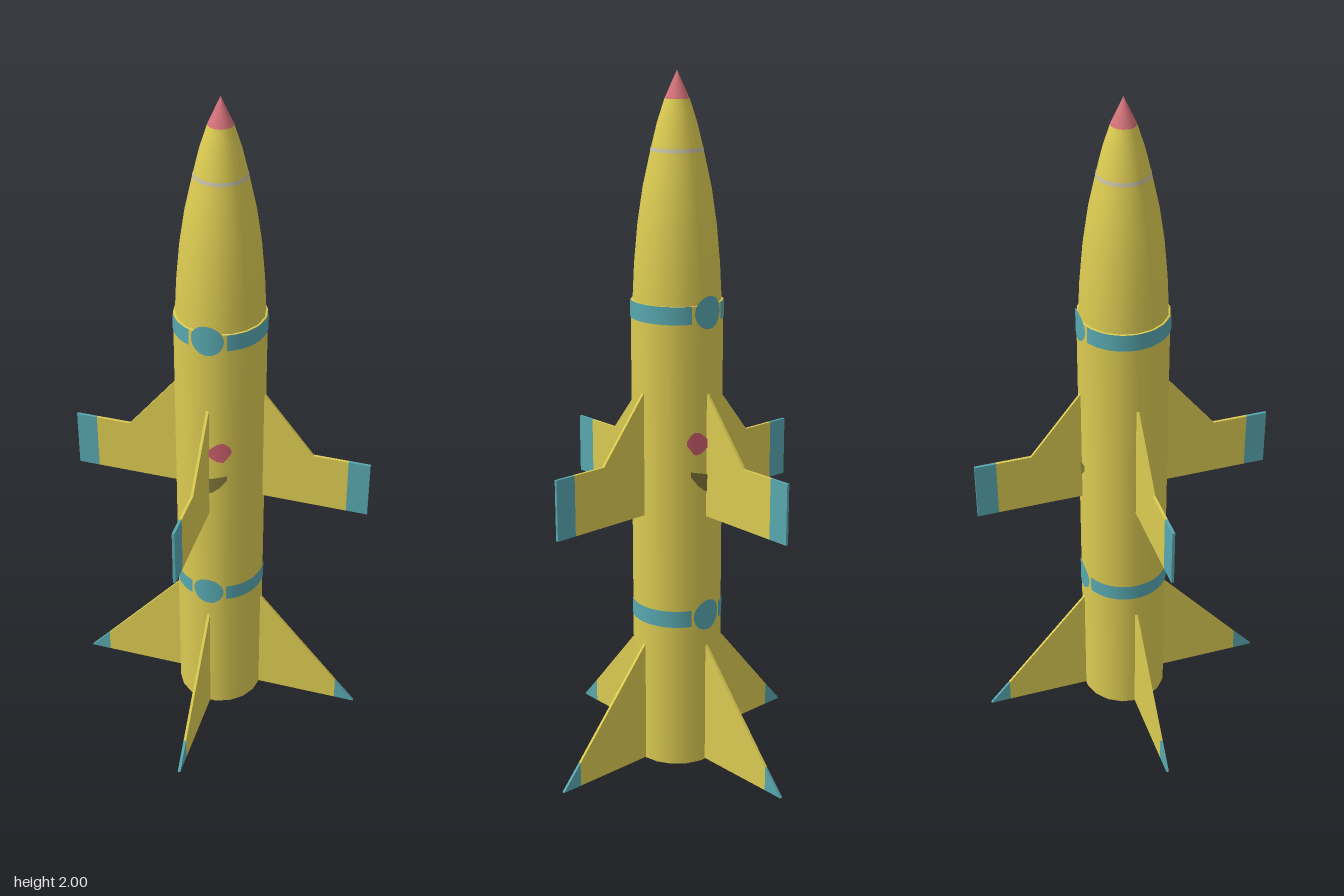
import * as THREE from 'three';

const R = 0.129, SIDES = 18;
const mat = (name, color, side = THREE.FrontSide) => {
  const m = new THREE.MeshStandardMaterial({ color, side });
  m.name = name;
  return m;
};

export function createModel() {
  const group = new THREE.Group();
  const yellow = mat('yellow', 0xdccb52);
  const teal = mat('teal', 0x58a8b0);
  const red = mat('red', 0xd4727a);
  const pink = mat('pink', 0xd0606e);
  const brown = mat('brown', 0x81763a);
  const grey = mat('pale grey', 0xc4c0a8);

  const add = (name, geo, material, parent = group) => {
    const m = new THREE.Mesh(geo, material);
    m.name = name;
    parent.add(m);
    return m;
  };
  // Lathe from [radius, height] pairs, listed upwards
  const lathe = (pts, n = SIDES, start = Math.PI / 2, arc = Math.PI * 2) =>
    new THREE.LatheGeometry(pts.map(p => new THREE.Vector2(...p)), n, start, arc);

  // Fuselage, flat base and ogive nose
  add('body', lathe([[R, 0], [R, 1.38]]), yellow);
  add('base', lathe([[0, 0], [R, 0]]), yellow);
  add('shoulder', lathe([[R, 1.38], [0.124, 1.381]]), yellow);
  const nose = [[0.124, 1.38], [0.119, 1.48], [0.109, 1.59], [0.094, 1.69],
    [0.072, 1.79], [0.055, 1.86], [0.034, 1.925]];
  add('nose', lathe(nose), yellow);
  add('noseTip', lathe([[0.034, 1.925], [0, 2]]), red);
  add('noseRing', lathe([[0.0735, 1.787], [0.0712, 1.797]]), grey);

  // Thin patch wrapped on the front (+1) or back (-1); columns are [x, bottom, top]
  const patch = (name, columns, side, material) => {
    const cols = side > 0 ? columns : [...columns].reverse();
    const pos = [], idx = [];
    cols.forEach(([x, lo, hi], i) => {
      const z = side * Math.sqrt(0.131 ** 2 - x * x);
      pos.push(x, lo, z, x, hi, z);
      const a = 2 * i;
      if (i < cols.length - 1) idx.push(a, a + 2, a + 1, a + 1, a + 2, a + 3);
    });
    const g = new THREE.BufferGeometry();
    g.setAttribute('position', new THREE.Float32BufferAttribute(pos, 3));
    g.setIndex(idx);
    g.computeVertexNormals();
    add(name, g, material);
  };

  // Painted bands, interrupted by a disc at the front and back
  const deg = Math.PI / 180;
  for (const [y, lo, hi] of [[1.36, 1.332, 1.382], [0.467, 0.44, 0.49]]) {
    for (const start of [24, 204]) {
      add('band', lathe([[0.1308, lo], [0.1308, hi]], 24, start * deg, 132 * deg), teal);
    }
    const disc = [];
    for (let i = 0; i <= 12; i++) {
      const a = Math.PI * (1 - i / 12), h = 0.046 * Math.sin(a);
      disc.push([0.046 * Math.cos(a), y - h, y + h]);
    }
    for (const side of [1, -1]) patch('bandDisc', disc, side, teal);
  }

  // Small painted marks
  for (const side of [1, -1]) {
    patch('pinkMark', [[0, 0.98, 0.995], [0.015, 0.968, 1.01], [0.03, 0.96, 1.022],
      [0.045, 0.958, 1.025], [0.057, 0.975, 1.015], [0.066, 0.99, 1.0]], side, pink);
    patch('brownMark', [[-0.03, 0.88, 0.9], [-0.015, 0.86, 0.9], [0.0, 0.845, 0.895],
      [0.015, 0.85, 0.9], [0.035, 0.868, 0.905], [0.055, 0.895, 0.91]], side, brown);
  }

  // Fins: flat outlines extruded thin, with painted tips
  const plate = pts => {
    const s = new THREE.Shape(pts.map(p => new THREE.Vector2(...p)));
    return new THREE.ExtrudeGeometry(s, { depth: 0.008, bevelEnabled: false }).translate(0, 0, -0.004);
  };
  const wing = plate([[0.118, 0.77], [0.378, 0.77], [0.378, 0.945], [0.275, 0.945], [0.128, 1.13], [0.118, 1.13]]);
  const wingTip = plate([[0.378, 0.77], [0.44, 0.77], [0.44, 0.945], [0.378, 0.945]]);
  const tail = plate([[0.118, 0.002], [0.378, 0.002], [0.378, 0.074], [0.128, 0.37], [0.118, 0.37]]);
  const tailTip = plate([[0.378, 0.002], [0.44, 0.002], [0.378, 0.074]]);
  for (let i = 0; i < 4; i++) {
    const fins = new THREE.Group();
    fins.name = 'finSet';
    fins.rotation.y = i * Math.PI / 2;
    add('wing', wing, yellow, fins);
    add('wingTip', wingTip, teal, fins);
    add('tailFin', tail, yellow, fins);
    add('tailFinTip', tailTip, teal, fins);
    group.add(fins);
  }
  return group;
}
